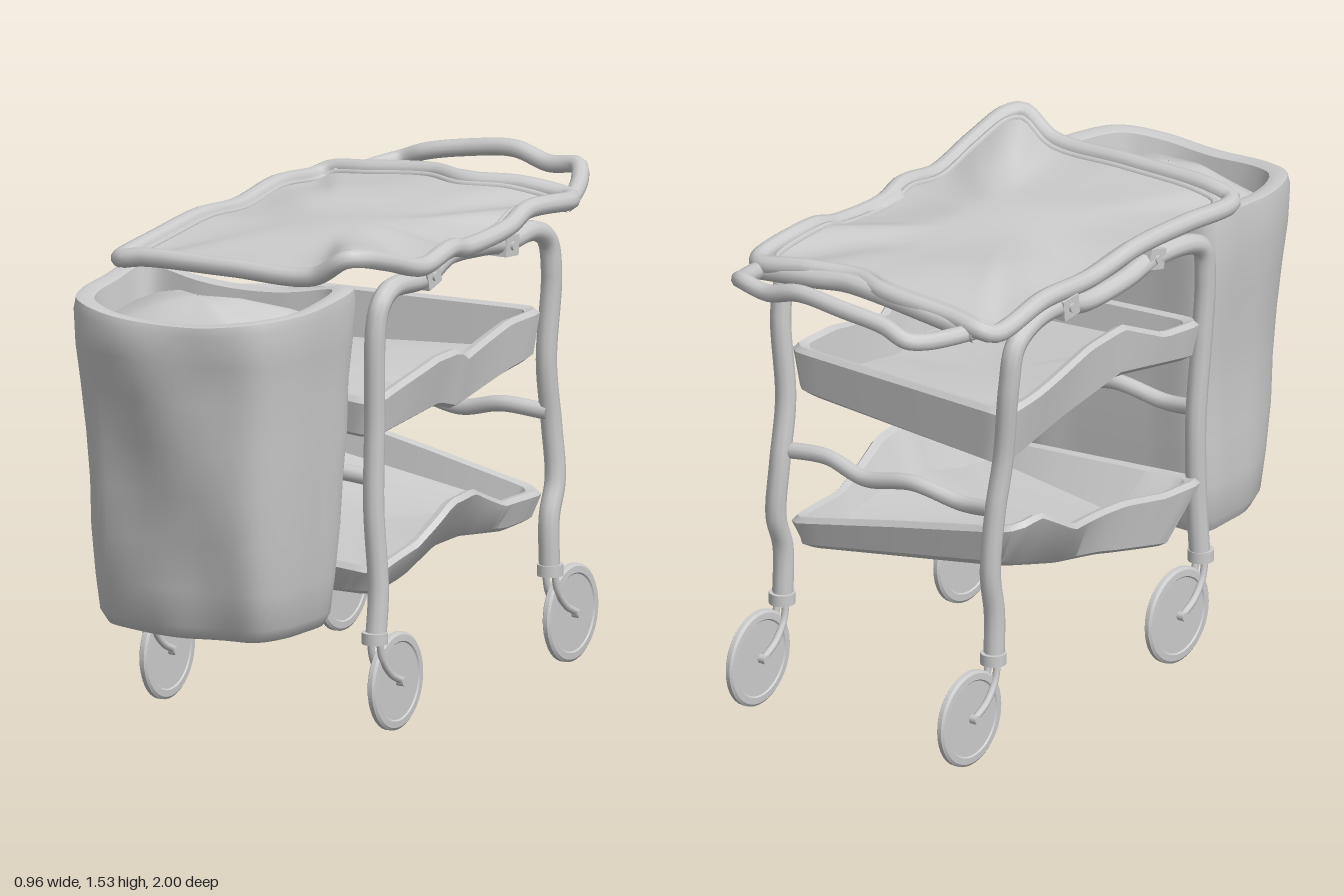
import * as THREE from 'three';
import { toCreasedNormals } from 'three/addons/utils/BufferGeometryUtils.js';

const grey = new THREE.MeshStandardMaterial({ color: 0xcccccc });
const greyThin = new THREE.MeshStandardMaterial({ color: 0xcccccc, side: THREE.DoubleSide });
const V = (x, y, z) => new THREE.Vector3(x, y, z);

function add(parent, name, geometry, material = grey) {
  const mesh = new THREE.Mesh(geometry, material);
  mesh.name = name;
  parent.add(mesh);
  return mesh;
}

function curve(points, closed = false) {
  return new THREE.CatmullRomCurve3(points.map(p => V(...p)), closed, 'centripetal');
}

function tube(points, radius, segments = 80) {
  return new THREE.TubeGeometry(curve(points), segments, radius, 10);
}

// Skin a list of closed rings (arrays of Vector3 with equal counts)
function loft(rings, crease) {
  const n = rings[0].length, index = [];
  for (let i = 0; i < rings.length - 1; i++) {
    for (let j = 0; j < n; j++) {
      const a = i * n + j, b = i * n + (j + 1) % n;
      index.push(a, a + n, b, b, a + n, b + n);
    }
  }
  const g = new THREE.BufferGeometry().setFromPoints(rings.flat());
  g.setIndex(index);
  return toCreasedNormals(g, crease);
}

// Piecewise linear lookup in [[key, value], ...] with descending keys
function sample(table, t) {
  if (t >= table[0][0]) return table[0][1];
  for (let i = 1; i < table.length; i++) {
    const [k0, v0] = table[i - 1], [k1, v1] = table[i];
    if (t >= k1) return v0 + (v1 - v0) * (k0 - t) / (k0 - k1);
  }
  return table[table.length - 1][1];
}

// Rounded rectangle in the x-z plane
function roundRect(w, d, r, n = 96) {
  const s = new THREE.Shape();
  s.absarc(w - r, d - r, r, 0, Math.PI / 2);
  s.absarc(r - w, d - r, r, Math.PI / 2, Math.PI);
  s.absarc(r - w, r - d, r, Math.PI, Math.PI * 1.5);
  s.absarc(w - r, r - d, r, Math.PI * 1.5, Math.PI * 2);
  s.closePath();
  return s.getSpacedPoints(n).slice(0, n);
}

// Warped open tray; each height table runs from front to back, sides bulge by rule,
// and skew pulls the front right corner of the floor backwards
function trayGeometry(topW, bottomW, bulge, skew, heights) {
  const ring = (w, d, edge, lift) => roundRect(w, d, Math.min(w, d) * 0.12).map(p => {
    const z = p.y - 0.1, k = THREE.MathUtils.clamp(p.x / 0.8 + 0.5, 0, 1);
    const y = sample(heights[edge + 'Right'], z) * (1 - k) + sample(heights[edge + 'Left'], z) * k;
    const top = edge === 'top';
    const peak = p.x > 0 ? 0.02 : -0.42;
    const swell = top ? 1 + bulge * Math.exp(-(((z - peak) / 0.22) ** 2)) : 1;
    const pull = top ? 0 : skew * (1 - k) * Math.max(0, p.y) / 0.5;
    return V(p.x * swell, y + lift, z - pull);
  });
  return loft([
    ring(0.004, 0.004, 'bottom', 0), ring(bottomW * 0.5, 0.25, 'bottom', 0),
    ring(bottomW - 0.01, 0.465, 'bottom', 0), ring(bottomW + 0.01, 0.485, 'bottom', 0.015),
    ring(topW, 0.5, 'top', -0.015), ring(topW - 0.012, 0.488, 'top', 0), ring(topW - 0.035, 0.465, 'top', -0.008),
    ring(bottomW - 0.02, 0.45, 'bottom', 0.035), ring(bottomW * 0.5, 0.25, 'bottom', 0.025),
    ring(0.004, 0.004, 'bottom', 0.025),
  ], 0.6);
}

function addTrays(group) {
  add(group, 'upperTray', trayGeometry(0.41, 0.385, 0.04, 0, {
    topLeft: [[0.4, 1.03], [0.2, 1.07], [0.05, 1.1], [-0.08, 1.1], [-0.13, 1.07], [-0.4, 1.12], [-0.6, 1.12]],
    topRight: [[0.4, 1.08], [0.2, 1.1], [0, 1.19], [-0.17, 1.18], [-0.45, 1.12], [-0.6, 1.1]],
    bottomLeft: [[0.4, 0.9], [0, 0.93], [-0.1, 0.9], [-0.4, 0.95], [-0.6, 0.97]],
    bottomRight: [[0.4, 0.95], [0, 1.02], [-0.3, 0.97], [-0.6, 0.9]],
  }), greyThin);
  add(group, 'lowerTray', trayGeometry(0.415, 0.38, 0.12, 0.13, {
    topLeft: [[0.4, 0.51], [0.2, 0.56], [0.03, 0.66], [-0.12, 0.66], [-0.35, 0.57], [-0.6, 0.56]],
    topRight: [[0.4, 0.57], [0.2, 0.58], [0, 0.62], [-0.3, 0.65], [-0.48, 0.75], [-0.6, 0.73]],
    bottomLeft: [[0.4, 0.42], [0.2, 0.44], [0, 0.5], [-0.15, 0.5], [-0.4, 0.46], [-0.6, 0.46]],
    bottomRight: [[0.4, 0.38], [0, 0.45], [-0.3, 0.51], [-0.6, 0.6]],
  }), greyThin);
}

// Rippled top panel with a tubular rim and a thin inner lip
function addTop(group) {
  const outline = curve([
    [-0.45, 1.4, -0.7], [-0.42, 1.415, -0.735], [-0.3, 1.43, -0.73], [-0.06, 1.45, -0.735],
    [0.08, 1.45, -0.69], [0.25, 1.45, -0.725], [0.4, 1.43, -0.74], [0.435, 1.43, -0.7],
    [0.43, 1.45, -0.45], [0.435, 1.42, -0.33], [0.435, 1.41, -0.08], [0.445, 1.43, 0.02],
    [0.45, 1.41, 0.2], [0.445, 1.46, 0.38], [0.43, 1.5, 0.53], [0.4, 1.5, 0.565],
    [0.29, 1.435, 0.565], [0, 1.43, 0.57], [-0.3, 1.425, 0.57], [-0.38, 1.41, 0.565],
    [-0.4, 1.405, 0.53], [-0.405, 1.42, 0.3], [-0.415, 1.43, 0.05], [-0.425, 1.41, -0.2],
    [-0.44, 1.425, -0.45],
  ], true);
  const edge = outline.getSpacedPoints(160).slice(0, 160);
  const inset = s => edge.map(p => {
    const x = p.x * s, z = -0.07 + (p.z + 0.07) * s;
    const soft = 1.445 + 0.12 * x * (z + 0.1) + 0.012 * Math.sin(x * 8 + 1) * Math.cos(z * 9);
    return V(x, THREE.MathUtils.lerp(soft, p.y, THREE.MathUtils.smoothstep(s, 0.25, 1)), z);
  });
  const steps = Array.from({ length: 15 }, (_, i) => 1 - i / 14.02);
  add(group, 'topPanel', loft(steps.map(inset), 1), greyThin);
  add(group, 'topRim', new THREE.TubeGeometry(outline, 200, 0.029, 10, true));
  const lip = new THREE.CatmullRomCurve3(inset(0.925), true);
  add(group, 'topLip', new THREE.TubeGeometry(lip, 200, 0.011, 6, true));
  add(group, 'topBackEdge', tube([[-0.41, 1.4, -0.735], [-0.2, 1.425, -0.738], [0, 1.44, -0.73],
    [0.1, 1.44, -0.725], [0.2, 1.43, -0.735], [0.41, 1.41, -0.74]], 0.03));
}

function addHandle(group) {
  add(group, 'handle', tube([
    [-0.39, 1.4, -0.7], [-0.375, 1.4, -0.76], [-0.335, 1.41, -0.9], [-0.3, 1.42, -0.945],
    [-0.22, 1.45, -0.95], [-0.08, 1.475, -0.97], [0.08, 1.49, -0.975], [0.2, 1.46, -0.97],
    [0.31, 1.47, -0.955], [0.35, 1.445, -0.9], [0.4, 1.415, -0.76], [0.41, 1.41, -0.7]], 0.027));
}

// Arched side frames, brackets and cross rails
function addFrame(group) {
  add(group, 'leftFrame', tube([
    [0.415, 0.3, 0.41], [0.415, 0.45, 0.395], [0.405, 0.7, 0.405], [0.405, 0.95, 0.4], [0.415, 1.26, 0.41],
    [0.42, 1.33, 0.39], [0.42, 1.365, 0.33], [0.42, 1.36, 0.13], [0.42, 1.4, 0], [0.42, 1.39, -0.2],
    [0.42, 1.37, -0.35], [0.42, 1.375, -0.5], [0.42, 1.33, -0.59], [0.42, 1.22, -0.615],
    [0.405, 0.95, -0.61], [0.405, 0.75, -0.64], [0.415, 0.58, -0.645], [0.415, 0.47, -0.61], [0.415, 0.3, -0.612]],
    0.032, 140));
  add(group, 'rightFrame', tube([
    [-0.38, 0.3, 0.41], [-0.375, 0.5, 0.4], [-0.38, 0.75, 0.39], [-0.39, 1, 0.405], [-0.4, 1.2, 0.41],
    [-0.405, 1.31, 0.39], [-0.405, 1.345, 0.33], [-0.405, 1.36, 0.13], [-0.41, 1.34, 0], [-0.415, 1.335, -0.2],
    [-0.425, 1.37, -0.35], [-0.44, 1.37, -0.5], [-0.443, 1.32, -0.59], [-0.435, 1.2, -0.61],
    [-0.405, 0.95, -0.6], [-0.39, 0.78, -0.62], [-0.38, 0.58, -0.63], [-0.38, 0.45, -0.61], [-0.38, 0.3, -0.612]],
    0.032, 140));
  for (const [x, z] of [[-0.4, 0.13], [-0.425, -0.33], [0.42, 0.13], [0.42, -0.33]]) {
    const bracket = new THREE.Group();
    bracket.name = 'bracket';
    bracket.position.set(x, 1.367, z);
    bracket.rotation.x = z > 0 ? 0.25 : -0.1;
    add(bracket, 'bracketClamp', new THREE.BoxGeometry(0.068, 0.064, 0.075));
    const screw = add(bracket, 'bracketScrew', new THREE.CylinderGeometry(0.014, 0.014, 0.084, 12));
    screw.rotation.z = Math.PI / 2;
    group.add(bracket);
  }
  for (const [name, z] of [['frontRail', 0.39], ['backRail', -0.62]]) {
    add(group, name, tube([[-0.39, 0.79, z], [-0.25, 0.77, z + 0.02], [-0.08, 0.8, z],
      [0.1, 0.77, z], [0.25, 0.8, z + 0.01], [0.405, 0.79, z]], 0.025));
  }
}

// Trailing caster wheels
function addCasters(group) {
  const profile = [[0, -0.01], [0.118, -0.01], [0.122, -0.014], [0.142, -0.013], [0.15, -0.007],
    [0.15, 0.007], [0.142, 0.013], [0.122, 0.014], [0.118, 0.01], [0, 0.01]].map(p => new THREE.Vector2(...p));
  const wheelGeometry = toCreasedNormals(new THREE.LatheGeometry(profile, 40), 0.5);
  for (const x of [-0.38, 0.415]) {
    for (const z of [0.415, -0.615]) {
      const caster = new THREE.Group();
      caster.name = 'caster';
      caster.position.set(x, 0, z);
      add(caster, 'collar', new THREE.CylinderGeometry(0.04, 0.04, 0.035, 20)).position.y = 0.307;
      for (const s of [-1, 1]) {
        add(caster, 'forkArm', tube([[s * 0.016, 0.3, 0], [s * 0.017, 0.24, -0.015],
          [s * 0.02, 0.185, -0.06], [s * 0.022, 0.153, -0.12]], 0.011, 16));
      }
      const wheel = add(caster, 'wheel', wheelGeometry);
      wheel.rotation.z = Math.PI / 2;
      wheel.position.set(0, 0.15, -0.12);
      const axle = add(caster, 'axle', new THREE.CylinderGeometry(0.014, 0.014, 0.068, 12));
      axle.rotation.z = Math.PI / 2;
      axle.position.copy(wheel.position);
      group.add(caster);
    }
  }
}

// Hanging soft bag with a thick rim and filled top
function addBag(group) {
  const dShape = curve([[1, 0, 0.07], [1, 0, 0.35], [0.97, 0, 0.62], [0.83, 0, 0.86], [0.5, 0, 0.985], [0, 0, 1],
    [-0.5, 0, 0.985], [-0.83, 0, 0.86], [-0.97, 0, 0.62], [-1, 0, 0.35], [-1, 0, 0.07],
    [-0.93, 0, 0], [-0.4, 0, 0], [0.4, 0, 0], [0.93, 0, 0]], true).getSpacedPoints(80).slice(0, 80);
  const ring = (y, xR, xL, zF, zB, scale = 1, rim = 0) => dShape.map(p => {
    const fold = (1 - rim) * scale * p.z * (0.01 * Math.sin(p.x * 4 + y * 7) + 0.008 * Math.cos(p.x * 7));
    const x = (xL + xR) / 2 + p.x * scale * (xL - xR) / 2;
    const z = (zF + zB) / 2 + (p.z - 0.5) * scale * (zF - zB) + fold;
    const sag = Math.sin(Math.PI * p.z) * Math.abs(p.x) * 0.02;
    return V(x, y + rim * (0.045 * p.x * p.x + 0.012 * (1 - p.z) - 0.012 - sag), z);
  });
  const body = [
    [0.34, -0.2, 0.14, 0.7, 0.55, 0.01], [0.335, -0.31, 0.25, 0.8, 0.5], [0.345, -0.345, 0.28, 0.835, 0.47],
    [0.385, -0.365, 0.3, 0.86, 0.455], [0.5, -0.37, 0.315, 0.88, 0.45], [0.65, -0.37, 0.33, 0.905, 0.445],
    [0.8, -0.365, 0.34, 0.925, 0.445], [0.95, -0.375, 0.355, 0.945, 0.445], [1.1, -0.39, 0.36, 0.965, 0.445],
    [1.22, -0.4, 0.375, 0.985, 0.445], [1.32, -0.4, 0.388, 0.998, 0.445, 1, 0.8],
    [1.35, -0.395, 0.385, 0.99, 0.45, 1, 1], [1.355, -0.39, 0.38, 0.98, 0.46, 0.95, 1],
    [1.345, -0.39, 0.38, 0.98, 0.46, 0.87, 1], [1.27, -0.39, 0.38, 0.97, 0.46, 0.84, 0.5],
    [1.31, -0.39, 0.38, 0.98, 0.47, 0.6, 0.5], [1.36, -0.39, 0.38, 1, 0.5, 0.3, 0.2],
    [1.38, -0.39, 0.38, 1, 0.5, 0.005, 0],
  ];
  add(group, 'bag', loft(body.map(r => ring(...r)), 0.8), greyThin);
}

export function createModel() {
  const group = new THREE.Group();
  group.name = 'trolley';
  addFrame(group);
  addCasters(group);
  addTrays(group);
  addTop(group);
  addHandle(group);
  addBag(group);
  return group;
}
